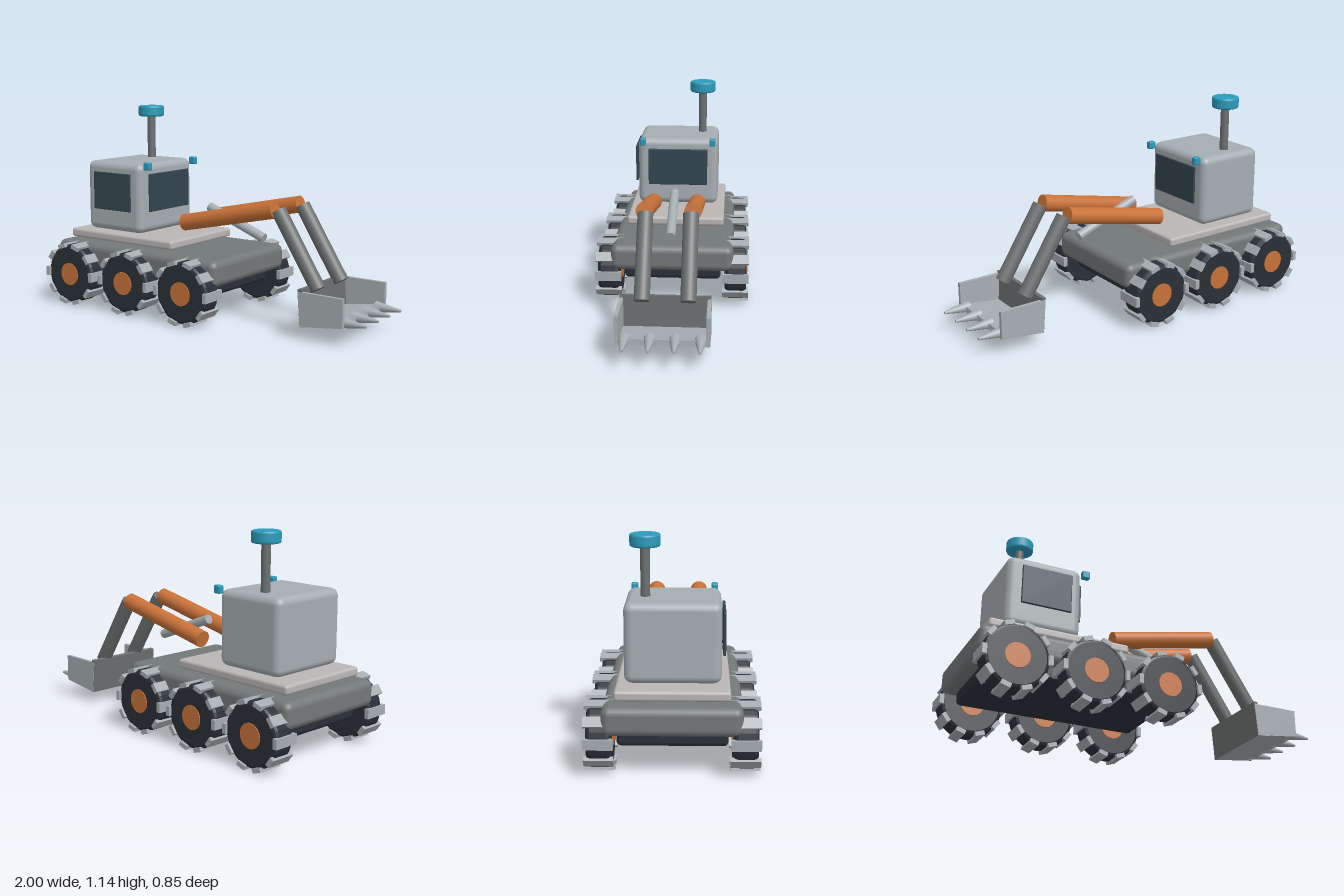
import * as THREE from 'three';
import { RoundedBoxGeometry } from 'three/addons/geometries/RoundedBoxGeometry.js';

const mat = (color) => new THREE.MeshStandardMaterial({ color });
const M = {
  body: mat(0x737878), panel: mat(0xa6adb1), deck: mat(0xb9b6b5), dark: mat(0x2a3038),
  glass: mat(0x33454f), orange: mat(0xc87137), blue: mat(0x2b9bbb), steel: mat(0x6c7070),
};

function add(parent, name, geometry, material, x = 0, y = 0, z = 0) {
  const mesh = new THREE.Mesh(geometry, material);
  mesh.name = name;
  mesh.position.set(x, y, z);
  parent.add(mesh);
  return mesh;
}

// Rounded block given by its extents on each axis
function block(parent, name, material, [x0, x1], [y0, y1], [z0, z1], r) {
  const g = new RoundedBoxGeometry(x1 - x0, y1 - y0, z1 - z0, 3, r);
  return add(parent, name, g, material, (x0 + x1) / 2, (y0 + y1) / 2, (z0 + z1) / 2);
}

// Straight round bar from a to b
function rod(parent, name, material, a, b, r0, r1 = r0) {
  const p = new THREE.Vector3(...a), q = new THREE.Vector3(...b);
  const d = q.clone().sub(p);
  const mesh = add(parent, name, new THREE.CylinderGeometry(r1, r0, d.length(), 24), material);
  mesh.position.copy(p).add(q).multiplyScalar(0.5);
  mesh.quaternion.setFromUnitVectors(new THREE.Vector3(0, 1, 0), d.normalize());
  return mesh;
}

// Solid of revolution with chamfered rims
function drum(r, h, c) {
  const p = [[0, -h / 2], [r - c, -h / 2], [r - c * 0.3, -h / 2 + c * 0.3], [r, -h / 2 + c],
    [r, h / 2 - c], [r - c * 0.3, h / 2 - c * 0.3], [r - c, h / 2], [0, h / 2]];
  const g = new THREE.LatheGeometry(p.map(([x, y]) => new THREE.Vector2(x, y)), 36).toNonIndexed();
  g.computeVertexNormals();
  return g;
}

// Wheel with ten tread bars and a hub, axis along z
function makeWheel() {
  const wheel = new THREE.Group();
  wheel.name = 'wheel';
  add(wheel, 'tire', drum(0.17, 0.12, 0.02), M.dark).rotation.x = Math.PI / 2;
  add(wheel, 'hub', new THREE.CylinderGeometry(0.065, 0.065, 0.13, 28), M.orange).rotation.x = Math.PI / 2;
  for (let i = 0; i < 10; i++) {
    const a = (i * Math.PI) / 5;
    const bar = add(wheel, 'tread', new THREE.BoxGeometry(0.024, 0.052, 0.145), M.panel,
      Math.cos(a) * 0.168, Math.sin(a) * 0.168, 0);
    bar.rotation.z = a;
  }
  return wheel;
}

// Side outline in x and y, extruded across z
function plate(parent, name, points, z0, z1, material) {
  const shape = new THREE.Shape(points.map(([x, y]) => new THREE.Vector2(x, y)));
  const g = new THREE.ExtrudeGeometry(shape, { depth: z1 - z0, bevelEnabled: false });
  return add(parent, name, g, material, 0, 0, z0);
}

export function createModel() {
  const root = new THREE.Group();
  root.name = 'excavatorRover';

  // Chassis and deck
  block(root, 'belly', M.dark, [-0.92, 0.1], [0.145, 0.23], [-0.27, 0.27], 0.025);
  block(root, 'chassis', M.body, [-0.99, 0.175], [0.215, 0.36], [-0.34, 0.34], 0.04);
  block(root, 'deck', M.deck, [-0.93, -0.165], [0.375, 0.425], [-0.28, 0.28], 0.015);

  // Wheels
  for (const side of [-1, 1]) {
    for (const x of [-0.82, -0.408, 0.003]) {
      const wheel = makeWheel();
      wheel.position.set(x, 0.182, side * 0.353);
      root.add(wheel);
    }
  }

  // Cabin, windows, lamps
  const cabin = new THREE.Group();
  cabin.name = 'cabin';
  root.add(cabin);
  block(cabin, 'cabinShell', M.panel, [-0.835, -0.425], [0.43, 0.83], [-0.237, 0.237], 0.04);
  block(cabin, 'frontWindow', M.glass, [-0.416, -0.402], [0.555, 0.772], [-0.175, 0.175], 0.004);
  block(cabin, 'sideWindow', M.glass, [-0.762, -0.487], [0.555, 0.772], [0.244, 0.258], 0.004);
  for (const s of [-1, 1]) {
    block(cabin, 'lamp', M.blue, [-0.414, -0.37], [0.798, 0.842], [s * 0.206 - 0.017, s * 0.206 + 0.017], 0.008);
  }

  // Mast with sensor cap
  rod(root, 'mast', M.steel, [-0.655, 0.81, -0.138], [-0.655, 1.09, -0.138], 0.024);
  add(root, 'sensorCap', drum(0.076, 0.064, 0.01), M.blue, -0.655, 1.108, -0.138);

  // Twin arms and piston
  for (const s of [-1, 1]) {
    rod(root, 'boom', M.orange, [-0.192, 0.511, s * 0.126], [0.415, 0.639, s * 0.126], 0.046);
    rod(root, 'forearm', M.steel, [0.432, 0.636, s * 0.118], [0.68, 0.247, s * 0.118], 0.041);
  }
  rod(root, 'piston', M.panel, [-0.11, 0.592, 0], [0.262, 0.451, 0], 0.026);

  // Open bucket with teeth
  const bucket = new THREE.Group();
  bucket.name = 'bucket';
  root.add(bucket);
  plate(bucket, 'bucketFloor', [[0.642, 0.066], [0.888, 0.1], [0.885, 0.13], [0.638, 0.096]], -0.233, 0.233, M.panel);
  plate(bucket, 'bucketBack', [[0.64, 0.066], [0.66, 0.07], [0.648, 0.265], [0.624, 0.262]], -0.233, 0.233, M.steel);
  for (const s of [-1, 1]) {
    plate(bucket, 'bucketSide', [[0.642, 0.068], [0.89, 0.098], [0.89, 0.25], [0.626, 0.25]],
      s * 0.225 - 0.01, s * 0.225 + 0.01, M.panel);
  }
  for (let i = 0; i < 4; i++) {
    const z = -0.189 + i * 0.126;
    rod(bucket, 'tooth', M.panel, [0.855, 0.119, z], [1, 0.117, z], 0.031, 0.007);
  }
  return root;
}
